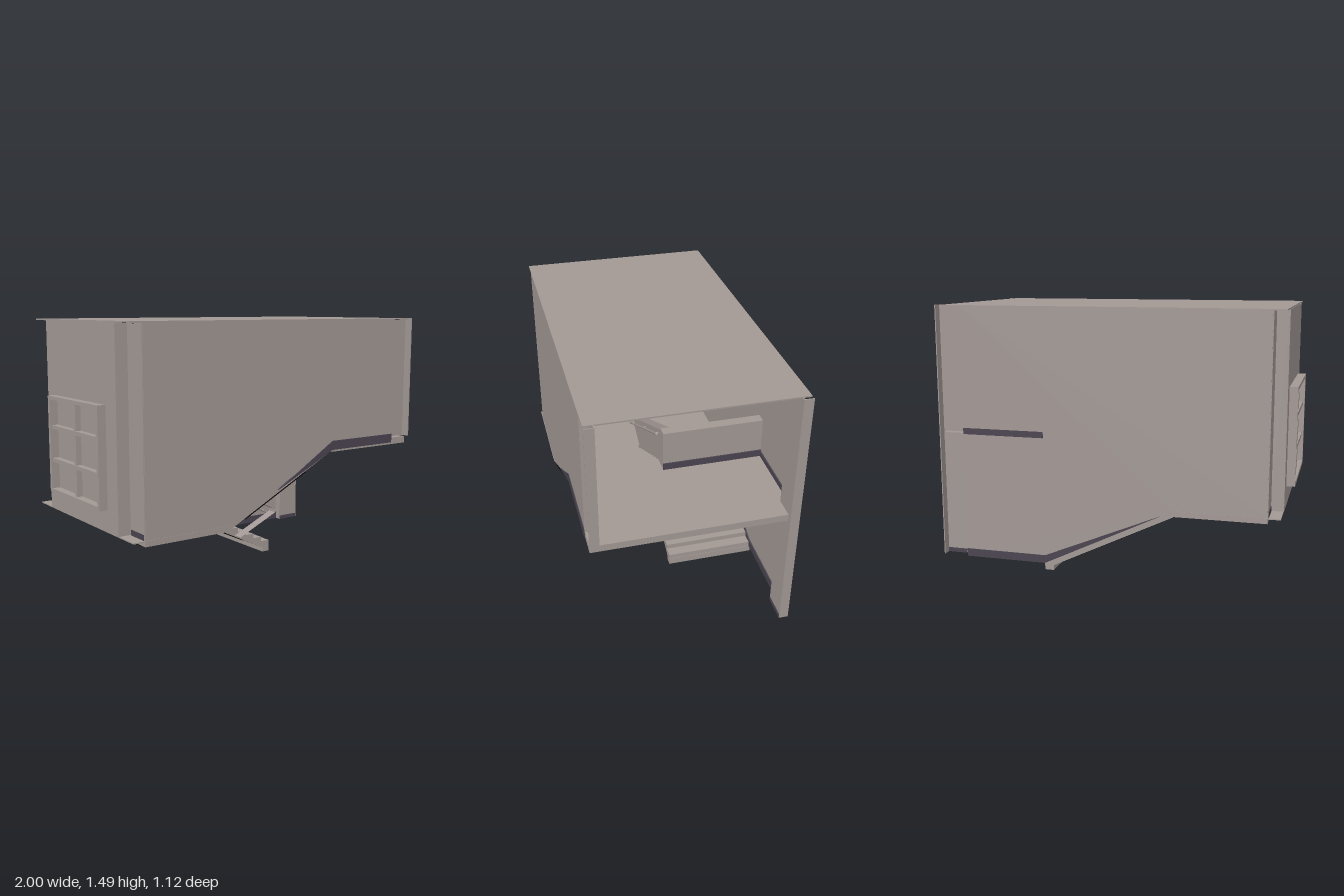
import * as THREE from 'three';

const mat = (name, color) => {
  const m = new THREE.MeshStandardMaterial({ color });
  m.name = name;
  return m;
};

export function createModel() {
  const plaster = mat('plaster', 0xa39995);
  const trim = mat('dark trim', 0x4a4450);
  const black = mat('black panel', 0x050505);
  const model = new THREE.Group();

  const add = (parent, name, geo, m) => {
    const mesh = new THREE.Mesh(geo, m);
    mesh.name = name;
    parent.add(mesh);
    return mesh;
  };
  // box given by its two corners
  const box = (name, x0, x1, y0, y1, z0, z1, m = plaster, parent = model) => {
    const mesh = add(parent, name, new THREE.BoxGeometry(x1 - x0, y1 - y0, z1 - z0), m);
    mesh.position.set((x0 + x1) / 2, (y0 + y1) / 2, (z0 + z1) / 2);
    return mesh;
  };
  // x-y outline extruded from z0 to z1
  const slab = (name, pts, z0, z1, m = plaster) => {
    const shape = new THREE.Shape(pts.map(p => new THREE.Vector2(p[0], p[1])));
    const mesh = add(model, name, new THREE.ExtrudeGeometry(shape, { depth: z1 - z0, bevelEnabled: false }), m);
    mesh.position.z = z0;
    return mesh;
  };
  // round bar between two points
  const bar = (name, a, b, r, parent = model) => {
    const p = new THREE.Vector3(...a), q = new THREE.Vector3(...b);
    const mesh = add(parent, name, new THREE.CylinderGeometry(r, r, p.distanceTo(q), 8), plaster);
    mesh.position.copy(p).add(q).multiplyScalar(0.5);
    mesh.quaternion.setFromUnitVectors(new THREE.Vector3(0, 1, 0), q.sub(p).normalize());
    return mesh;
  };

  // Roof and floors
  box('roof', -0.95, 0.97, 1.484, 1.492, -0.56, 0.56);
  box('upperLanding', 0.37, 0.97, 0.73, 0.77, -0.555, 0.555);
  box('middleLanding', -0.88, -0.37, 0.367, 0.395, -0.555, 0.555);
  box('middleLandingTop', -0.95, -0.37, 0.394, 0.4, -0.56, 0.56);

  // Side walls, cut along the flights
  slab('frontWall', [[-0.88, 0.4], [-0.37, 0.4], [0.37, 0.765], [0.85, 0.765], [0.85, 1.485], [-0.88, 1.485]], 0.552, 0.558);
  slab('backWall', [[-0.88, 0.4], [-0.37, 0.4], [0.37, 0.04], [0.85, 0.04], [0.85, 1.485], [-0.88, 1.485]], -0.558, -0.552);

  // End wall with notched corners
  box('endWall', -0.953, -0.947, 0.4, 1.485, -0.41, 0.41);
  for (const s of [-1, 1]) {
    const z = (a, b) => [Math.min(a * s, b * s), Math.max(a * s, b * s)];
    box('cornerReturn', -0.95, -0.88, 0.4, 1.485, ...z(0.405, 0.411));
    box('cornerFace', -0.883, -0.877, 0.4, 1.485, ...z(0.41, 0.555));
    box('cornerSkirting', -0.886, -0.872, 0.4, 0.43, ...z(0.42, 0.55), trim);
    // Recessed pier at the open end
    const y0 = s > 0 ? 0.77 : 0.04;
    box('pierPanel', 0.85, 0.998, y0, 1.492, ...z(0.507, 0.513));
    box('pierStep', 0.847, 0.853, y0, 1.485, ...z(0.51, 0.557));
    box('pierFlange', 0.994, 1, y0, 1.492, ...z(0.51, 0.56));
  }
  box('pierSkirting', 0.85, 0.995, 0.04, 0.065, -0.515, -0.505, trim);

  // Dark skirting along the wall bottoms
  slab('frontSkirting', [[-0.03, 0.555], [0.37, 0.742], [0.85, 0.742], [0.85, 0.795], [0.37, 0.795]], 0.545, 0.562, trim);
  slab('backSkirting', [[-0.3, 0.366], [0.37, 0.04], [0.85, 0.04], [0.85, 0.085], [0.37, 0.085]], -0.562, -0.545, trim);
  box('landingSkirting', 0.37, 0.85, 0.765, 0.8, -0.562, -0.545, trim);

  // Two stair flights
  const flight = (name, xa, ya, xb, yb, under, z0, z1, n = 12) => {
    const pts = [[xa, ya]];
    for (let i = 0; i < n; i++) {
      const x = xa + (xb - xa) * i / n, y = ya + (yb - ya) * (i + 1) / n;
      pts.push([x, y], [xa + (xb - xa) * (i + 1) / n, y]);
    }
    pts.push([xb, yb - under], [xa, ya - under]);
    slab(name, pts, z0, z1);
  };
  flight('lowerFlight', 0.37, 0.04, -0.37, 0.4, 0.037, -0.55, -0.03);
  flight('upperFlight', -0.37, 0.4, 0.37, 0.77, 0.035, -0.03, 0.55);
  box('footPlate', 0.32, 0.372, 0, 0.04, -0.555, -0.03);

  // Central wall folding around the flights, and the landing guard
  slab('centralWall', [[-0.37, 0.385], [0.1, 0.142], [0.375, 0.265], [0.375, 0.285], [-0.355, 0.64],
    [0.37, 1.005], [0.37, 0.73], [-0.37, 0.37]], -0.031, 0.031);
  box('landingGuard', 0.36, 0.42, 0.77, 1.008, -0.55, 0.031);
  box('guardSkirting', 0.42, 0.427, 0.77, 0.81, -0.55, 0.031, trim);

  // Handrails on brackets
  const handrail = (a, b, dz) => {
    const g = new THREE.Group();
    g.name = 'handrail';
    model.add(g);
    bar('rail', a, b, 0.007, g);
    for (const t of [0.05, 0.5, 0.95]) {
      const p = a.map((v, i) => v + (b[i] - v) * t);
      bar('bracket', p, [p[0], p[1], p[2] + dz], 0.005, g);
    }
  };
  handrail([0.37, 0.25, -0.052], [-0.34, 0.61, -0.052], 0.025);
  handrail([-0.33, 0.62, 0.052], [0.35, 0.97, 0.052], -0.025);
  bar('windowRail', [-0.915, 0.65, -0.41], [-0.915, 0.65, 0.41], 0.006);

  // Window frame, two panes wide and three high
  const win = new THREE.Group();
  win.name = 'window';
  model.add(win);
  for (const z of [-0.3, 0.285]) box('windowJamb', -1, -0.945, 0.517, 1.067, z - 0.012, z + 0.012, plaster, win);
  for (const y of [0.517, 1.047]) box('windowEdge', -1, -0.945, y, y + 0.02, -0.312, 0.297, plaster, win);
  for (const y of [0.69, 0.878]) box('windowTransom', -0.99, -0.945, y, y + 0.022, -0.3, 0.29, plaster, win);
  box('windowMullion', -0.985, -0.945, 0.52, 1.06, -0.02, 0.005, plaster, win);

  // Black ceiling panel with a twin-tube lamp beneath it
  const lamp = (x, y, z, w, d, angle = 0) => {
    const g = new THREE.Group();
    g.name = 'ceilingLamp';
    g.position.set(x, y, z);
    g.rotation.z = angle;
    model.add(g);
    box('blackPanel', -w / 2, w / 2, -0.003, 0.001, -d / 2, d / 2, black, g);
    box('lampHousing', -0.03, 0.03, -0.009, -0.002, -0.15, 0.15, plaster, g);
    for (const s of [-0.019, 0.019]) bar('lampTube', [s, -0.013, -0.14], [s, -0.013, 0.14], 0.007, g);
  };
  for (const z of [-0.255, 0.275]) {
    for (const x of [0.69, 0, -0.66]) lamp(x, 1.484, z, 0.5, 0.48);
    lamp(-0.66, 0.366, z, 0.44, 0.48);
  }
  lamp(0.71, 0.729, 0, 0.46, 0.5);
  lamp(-0.04, 0.529, 0.31, 0.48, 0.49, Math.atan2(0.37, 0.74));
  lamp(-0.04, 0.201, -0.29, 0.48, 0.48, -Math.atan2(0.36, 0.74));

  return model;
}
